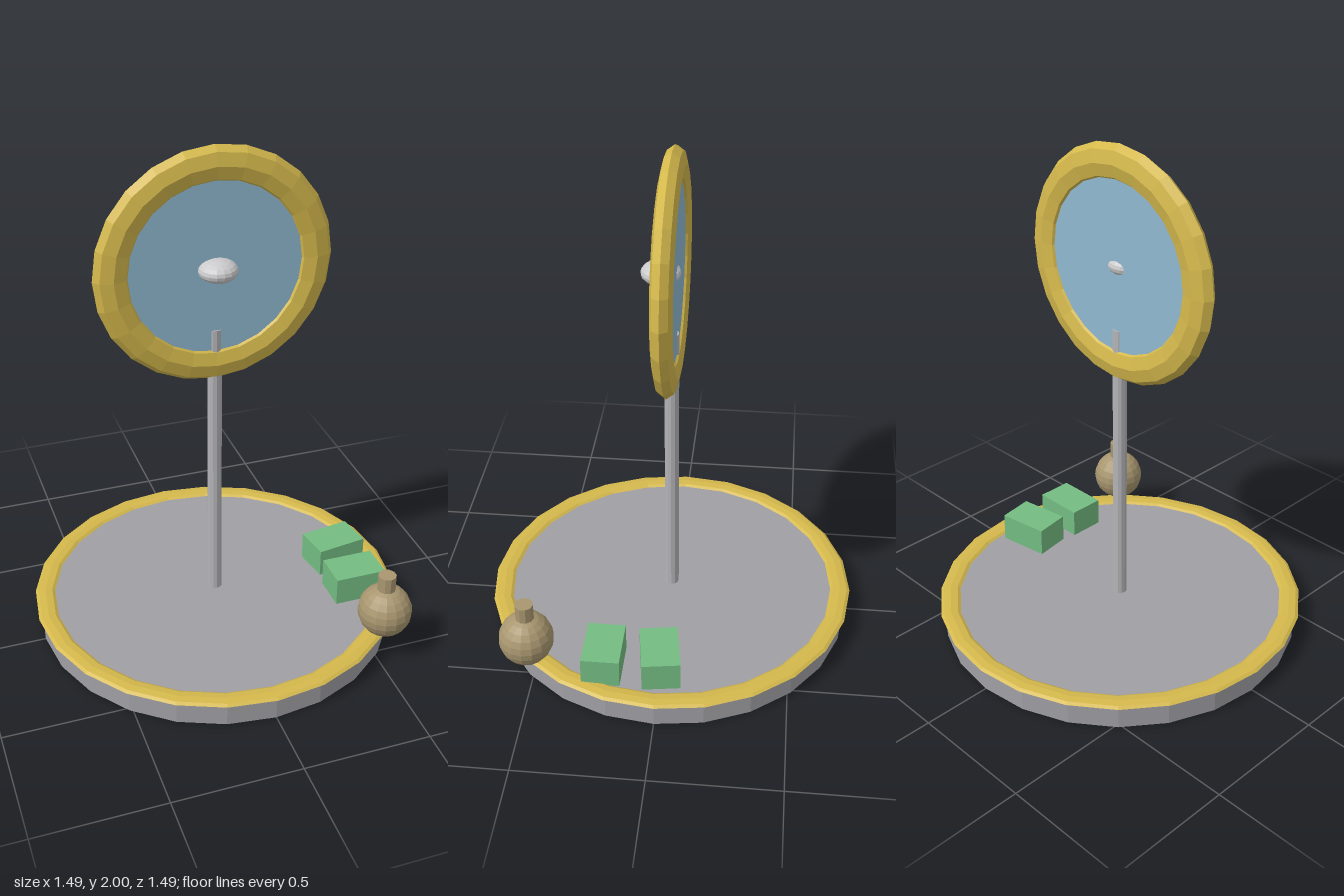
import * as THREE from 'three';

const paint = (name, color) => {
  const m = new THREE.MeshStandardMaterial({ color, flatShading: true });
  m.name = name;
  return m;
};

export function createModel() {
  const model = new THREE.Group();
  model.name = 'standingMirror';

  const gold = paint('gold', 0xd4b84c);
  const stone = paint('grey stone', 0xa09fa4);
  const steel = paint('steel', 0xb4b4b8);
  const silver = paint('silver', 0xcbcbcd);
  const glass = paint('blue glass', 0x8fb8d0);
  const green = paint('green', 0x74bc82);
  const clay = paint('tan', 0xa8966f);

  const add = (name, geometry, material, x = 0, y = 0, z = 0, parent = model) => {
    const mesh = new THREE.Mesh(geometry, material);
    mesh.name = name;
    mesh.position.set(x, y, z);
    parent.add(mesh);
    return mesh;
  };

  // Round base with a flattened gold rim
  add('base', new THREE.CylinderGeometry(0.725, 0.725, 0.1, 24), stone, 0, 0.05, 0);
  const rim = new THREE.TorusGeometry(0.705, 0.04, 8, 24).scale(1, 1, 0.27).rotateX(Math.PI / 2);
  add('baseRim', rim, gold, 0, 0.1, 0);

  // Pole running up through the lower edge of the mirror
  add('pole', new THREE.CylinderGeometry(0.028, 0.029, 1.28, 12), steel, 0, 0.65, 0);

  // Mirror: flattened ring, glass disc and central knob
  const mirror = new THREE.Group();
  mirror.name = 'mirror';
  mirror.position.y = 1.54;
  model.add(mirror);
  add('mirrorFrame', new THREE.TorusGeometry(0.39, 0.07, 8, 24).scale(1, 1, 0.58), gold, 0, 0, 0, mirror);
  add('mirrorGlass', new THREE.CylinderGeometry(0.345, 0.345, 0.04, 24).rotateX(Math.PI / 2), glass, 0, 0, 0, mirror);
  add('mirrorKnob', new THREE.SphereGeometry(0.075, 16, 10).scale(1, 0.57, 1), silver, 0, 0, 0.04, mirror);

  // Two green boxes standing on the base
  const boxGeometry = new THREE.BoxGeometry(0.212, 0.117, 0.148);
  add('frontBox', boxGeometry, green, 0.535, 0.1585, 0.213);
  add('backBox', boxGeometry, green, 0.535, 0.1585, -0.005).rotation.y = 0.15;

  // Round bottle at the rim
  const bottle = new THREE.Group();
  bottle.name = 'bottle';
  bottle.position.set(0.532, 0.217, 0.513);
  model.add(bottle);
  add('bottleBody', new THREE.SphereGeometry(0.107, 16, 12), clay, 0, 0, 0, bottle);
  add('bottleNeck', new THREE.CylinderGeometry(0.036, 0.036, 0.086, 10), clay, 0, 0.123, 0, bottle);

  return model;
}
